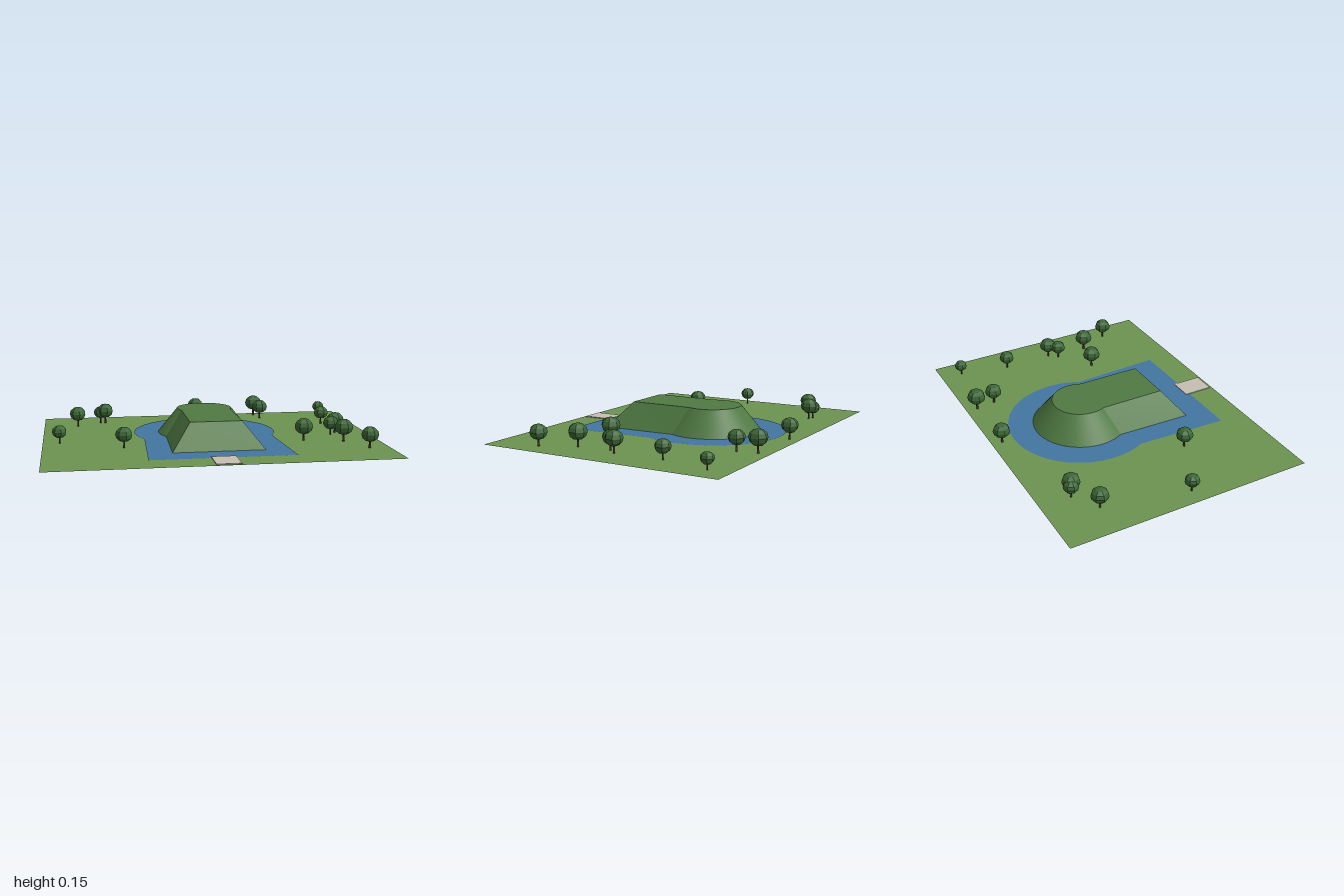
import * as THREE from 'three';

const mat = (name, color, extra = {}) => {
  const m = new THREE.MeshStandardMaterial({ color, ...extra });
  m.name = name;
  return m;
};

const CENTRE_Z = -0.17;

// Keyhole outline as [x, z]: a round back and a straight front that may flare.
function keyhole(r, halfNeck, halfFront, frontZ, steps = 48) {
  const a = Math.asin(halfNeck / r);
  const pts = [];
  for (let i = 0; i <= steps; i++) {
    const t = a + (i / steps) * (2 * Math.PI - 2 * a);
    pts.push([r * Math.sin(t), CENTRE_Z + r * Math.cos(t)]);
  }
  pts.push([-halfFront, frontZ], [halfFront, frontZ]);
  return pts;
}

// Flat, upward-facing sheet from an [x, z] outline.
function sheet(pts, y) {
  const shape = new THREE.Shape(pts.map(([x, z]) => new THREE.Vector2(x, -z)));
  return new THREE.ShapeGeometry(shape).rotateX(-Math.PI / 2).translate(0, y, 0);
}

// Sloping strip between matching runs of the lower and upper outlines.
function slope(low, high, y0, y1) {
  const pos = [], index = [];
  low.forEach(([x, z], i) => {
    pos.push(x, y0, z, high[i][0], y1, high[i][1]);
    if (i) {
      const k = 2 * (i - 1);
      index.push(k, k + 1, k + 2, k + 1, k + 3, k + 2);
    }
  });
  const g = new THREE.BufferGeometry();
  g.setAttribute('position', new THREE.Float32BufferAttribute(pos, 3));
  g.setIndex(index);
  g.computeVertexNormals();
  return g;
}

export function createModel() {
  const model = new THREE.Group();
  model.name = 'keyholeMoundPark';
  const grass = mat('grass', 0x6b9350, { side: THREE.DoubleSide });
  const water = mat('water', 0x4376a0, { side: THREE.DoubleSide });
  const turf = mat('moundTurf', 0x4f7942, { side: THREE.DoubleSide });
  const stone = mat('pathStone', 0xc6beb2);
  const leaf = mat('leaves', 0x3c6636, { flatShading: true });
  const bark = mat('bark', 0x4a3a28);

  const add = (name, geometry, material, parent = model) => {
    const mesh = new THREE.Mesh(geometry, material);
    mesh.name = name;
    parent.add(mesh);
    return mesh;
  };

  // Ground, moat and path
  add('ground', new THREE.PlaneGeometry(2, 1.49).rotateX(-Math.PI / 2), grass);
  add('moat', sheet(keyhole(0.44, 0.395, 0.42, 0.575), 0.003), water);
  add('path', new THREE.BoxGeometry(0.14, 0.005, 0.18).translate(0, 0.0035, 0.64), stone);

  // Mound: round slope, three flat slopes and a level top
  const mound = new THREE.Group();
  mound.name = 'mound';
  model.add(mound);
  const y0 = 0.003, y1 = 0.153;
  const low = keyhole(0.29, 0.256, 0.27, 0.42);
  const high = keyhole(0.17, 0.153, 0.153, 0.3);
  const n = low.length;
  add('roundSlope', slope(low.slice(0, n - 2), high.slice(0, n - 2), y0, y1), turf, mound);
  ['rightSlope', 'frontSlope', 'leftSlope'].forEach((name, i) => {
    const run = (pts) => [pts[n - 3 + i], pts[(n - 2 + i) % n]];
    add(name, slope(run(low), run(high), y0, y1), turf, mound);
  });
  add('moundTop', sheet(high, y1), turf, mound);

  // Trees: x, z, crown radius
  const trees = [
    [0.015, -0.68, 0.052], [0.42, -0.675, 0.056], [0.44, -0.555, 0.051],
    [0.865, -0.61, 0.039], [0.8, -0.31, 0.047], [0.805, -0.005, 0.053],
    [0.76, 0.05, 0.048], [0.55, 0.195, 0.056], [0.78, 0.255, 0.056],
    [0.875, 0.455, 0.052], [-0.53, 0.235, 0.051], [-0.9, 0.045, 0.044],
    [-0.785, -0.46, 0.052], [-0.635, -0.555, 0.045], [-0.605, -0.54, 0.053],
  ];
  const crown = new THREE.SphereGeometry(1, 7, 6).scale(1, 0.87, 1).translate(0, 1.58, 0);
  const trunk = new THREE.CylinderGeometry(0.09, 0.13, 1, 6).translate(0, 0.5, 0);
  trees.forEach(([x, z, r]) => {
    const tree = new THREE.Group();
    tree.name = 'tree';
    tree.position.set(x, 0, z);
    tree.scale.setScalar(r);
    add('trunk', trunk, bark, tree);
    add('crown', crown, leaf, tree);
    model.add(tree);
  });
  return model;
}
